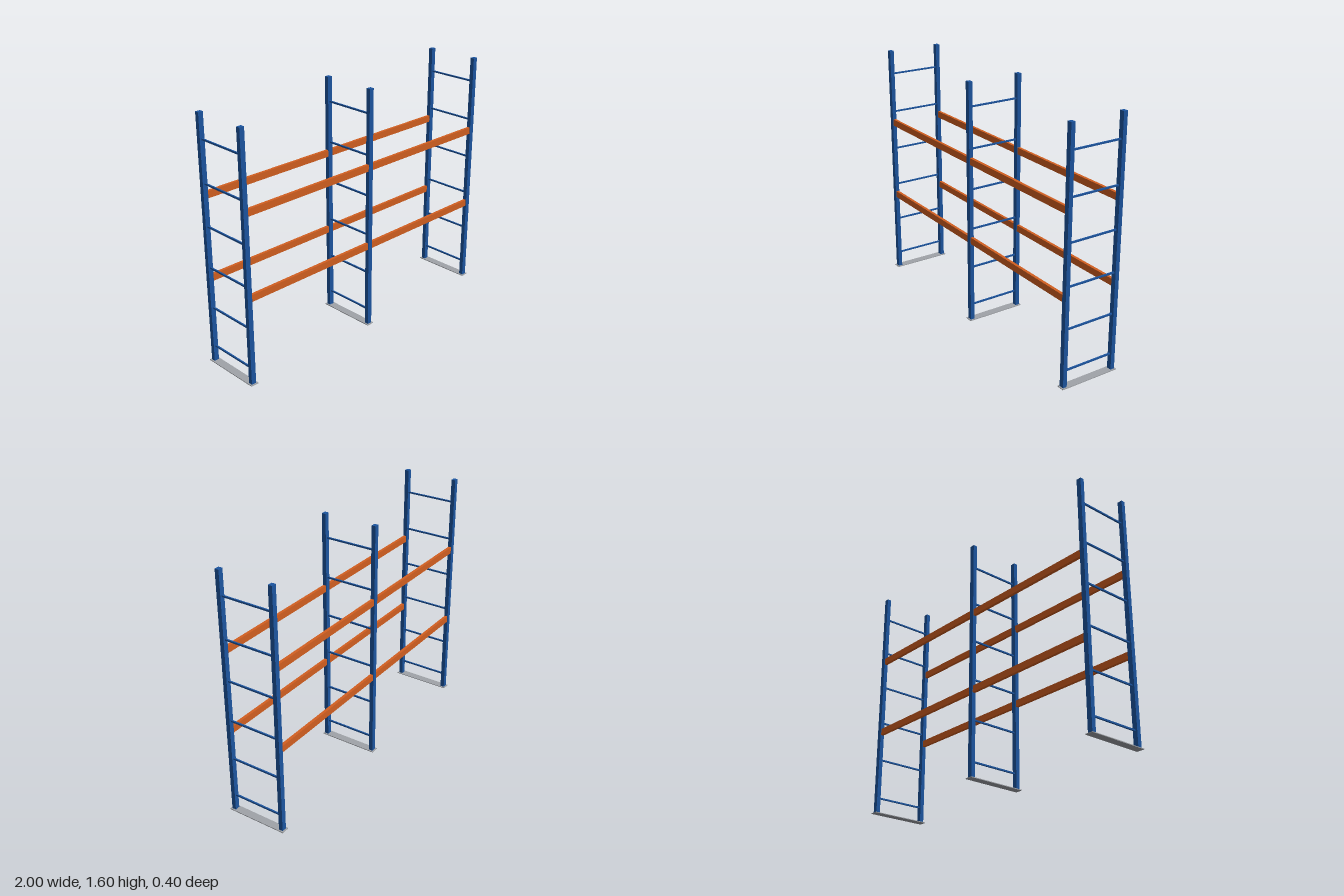
import * as THREE from 'three';

export function createModel() {
  const rack = new THREE.Group();
  rack.name = 'storageRack';
  const material = (name, color) => {
    const m = new THREE.MeshStandardMaterial({ color });
    m.name = name;
    return m;
  };
  const blue = material('uprightBlue', 0x1c55a0);
  const orange = material('beamOrange', 0xd25f20);
  const grey = material('plateGrey', 0xa0a3a8);

  const addBox = (parent, name, mat, size, pos) => {
    const mesh = new THREE.Mesh(new THREE.BoxGeometry(...size), mat);
    mesh.name = name;
    mesh.position.set(...pos);
    parent.add(mesh);
  };

  const height = 1.595, frameX = 0.974, postZ = 0.178;
  const postW = 0.032, postD = 0.027, plateH = 0.005;

  // Ladder frames: floor plate, two posts and six rungs each
  for (const x of [-frameX, 0, frameX]) {
    const frame = new THREE.Group();
    frame.name = 'uprightFrame';
    frame.position.x = x;
    addBox(frame, 'floorPlate', grey, [0.052, plateH, 0.4], [0, plateH / 2, 0]);
    for (const s of [-1, 1]) {
      addBox(frame, 'post', blue, [postW, height - plateH, postD],
        [0, (height + plateH) / 2, s * postZ]);
    }
    for (let i = 0; i < 6; i++) {
      addBox(frame, 'rung', blue, [0.01, 0.01, 2 * postZ - postD], [0, 0.107 + i * 0.266, 0]);
    }
    rack.add(frame);
  }

  // Load beams spanning each bay, front and back, on two levels
  const beamLength = frameX - postW;
  for (const y of [0.567, 1.097]) {
    for (const z of [-postZ, postZ]) {
      for (const s of [-1, 1]) {
        addBox(rack, 'beam', orange, [beamLength, 0.044, 0.019], [s * frameX / 2, y, z]);
      }
    }
  }
  return rack;
}
